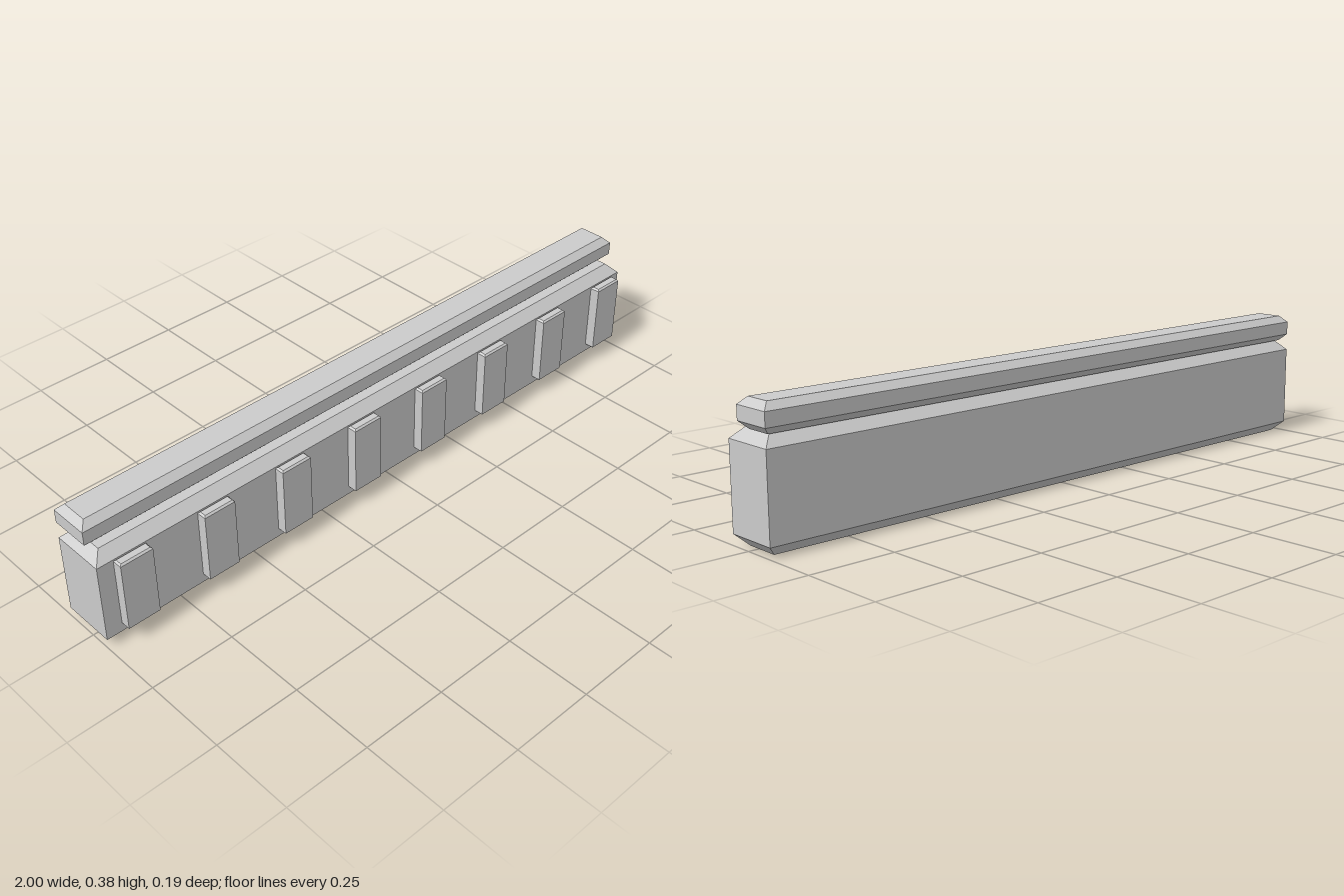
import * as THREE from 'three';

const material = new THREE.MeshStandardMaterial({ color: 0xcccccc, flatShading: true });

// Box whose top and bottom edges are cut back by a chamfer, given by its min and max corners
function chamferedBar(name, min, max, chamfer) {
  const [w, h, d] = max.map((v, i) => v - min[i]);
  const box = new THREE.BoxGeometry(w, h, d, 1, 3, 1);
  const pos = box.attributes.position;
  for (let i = 0; i < pos.count; i++) {
    const x = pos.getX(i), y = pos.getY(i), z = pos.getZ(i);
    if (Math.abs(y) > h * 0.4) {
      pos.setX(i, x - Math.sign(x) * chamfer);
      pos.setZ(i, z - Math.sign(z) * chamfer);
    } else {
      pos.setY(i, Math.sign(y) * (h / 2 - chamfer));
    }
  }
  const geometry = box.toNonIndexed();
  geometry.computeVertexNormals();
  const mesh = new THREE.Mesh(geometry, material);
  mesh.name = name;
  mesh.position.set(...min.map((v, i) => (v + max[i]) / 2));
  return mesh;
}

export function createModel() {
  const model = new THREE.Group();
  model.name = 'corniceWall';

  // Main wall and the narrower coping flush with its back
  model.add(chamferedBar('wallBody', [-1, 0, -0.095], [1, 0.3, 0.066], 0.03));
  model.add(chamferedBar('coping', [-1, 0.3, -0.095], [1, 0.38, 0.025], 0.02));

  // Row of raised blocks along the front
  const blocks = new THREE.Group();
  blocks.name = 'frontBlocks';
  for (let i = 0; i < 8; i++) {
    const x = -0.902 + i * 0.26;
    blocks.add(chamferedBar('frontBlock', [x - 0.049, 0.052, 0.066], [x + 0.049, 0.27, 0.096], 0.005));
  }
  model.add(blocks);
  return model;
}
